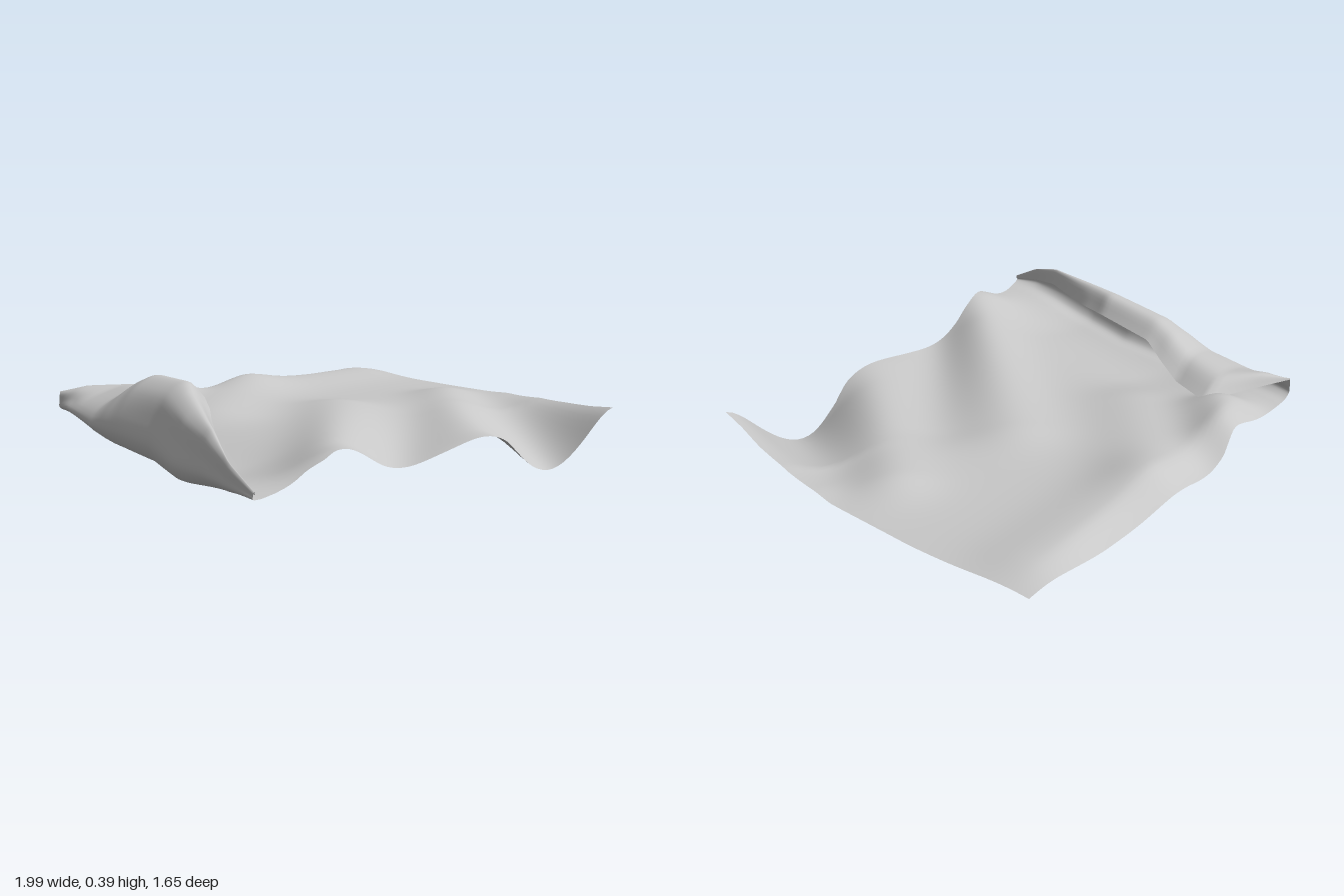
import * as THREE from 'three';

const { lerp, smoothstep } = THREE.MathUtils;

// Piecewise linear lookup
function along(keys, values, t) {
  if (t <= keys[0]) return values[0];
  for (let i = 1; i < keys.length; i++) {
    if (t <= keys[i]) return lerp(values[i - 1], values[i], (t - keys[i - 1]) / (keys[i] - keys[i - 1]));
  }
  return values[values.length - 1];
}

// Outline of the cloth and of its folded flap, from back to front
const Z = [-0.79, -0.7, -0.575, -0.4, -0.3, -0.2, 0.08, 0.33, 0.53, 0.68, 0.8];
const OUTER = [-0.68, -0.7, -0.73, -0.77, -0.785, -0.795, -0.835, -0.925, -0.965, -0.99, -0.985];
const RIGHT = [1, 1, 1, 1, 1, 0.995, 0.985, 0.945, 0.9, 0.855, 0.83];
const FLAP_X = [-0.67, -0.54, -0.34, -0.41, -0.45, -0.5, -0.58, -0.73, -0.87, -0.965, -0.975];
const FLAP_Y = [0.25, 0.24, 0.23, 0.235, 0.28, 0.325, 0.335, 0.29, 0.265, 0.215, 0.19];
const ROLL_Y = [0.255, 0.28, 0.285, 0.3, 0.35, 0.38, 0.395, 0.355, 0.325, 0.265, 0.2];

// Wavy front and back hems
const FRONT_X = [-0.98, -0.85, -0.72, -0.65, -0.5, -0.4, 0.28, 0.37, 0.5, 0.83];
const FRONT_Z = [0.82, 0.78, 0.75, 0.765, 0.72, 0.7, 0.71, 0.69, 0.7, 0.79];
const BACK_X = [-0.68, -0.2, -0.1, 0.2, 1];
const BACK_Z = [-0.79, -0.805, -0.825, -0.825, -0.79];

// Soft folds: x1, z1, x2, z2, height at each end, width
const FOLDS = [
  [-0.58, 0.75, 0.2, -0.1, 0.085, 0.035, 0.16],
  [-0.3, 0.72, 0.35, 0.15, -0.05, -0.02, 0.15],
  [0.17, 0.72, 0.75, 0.0, 0.02, 0.04, 0.14],
  [0.53, 0.74, 0.78, 0.28, -0.175, -0.03, 0.19],
  [0.83, 0.79, 0.98, 0.2, 0.065, 0.02, 0.11],
  [-0.75, 0.3, -0.6, -0.2, -0.045, -0.045, 0.25],
  [-0.36, -0.66, -0.22, -0.78, 0.09, 0.11, 0.14],
  [-0.25, -0.35, 0.2, -0.72, 0.035, 0.04, 0.18],
  [0.25, -0.7, 0.85, -0.7, 0.035, 0.035, 0.18],
];

function sheetHeight(x, z) {
  let y = 0.17;
  for (const [x1, z1, x2, z2, h1, h2, w] of FOLDS) {
    const dx = x2 - x1, dz = z2 - z1;
    const t = THREE.MathUtils.clamp(((x - x1) * dx + (z - z1) * dz) / (dx * dx + dz * dz), 0, 1);
    const d = Math.hypot(x - x1 - t * dx, z - z1 - t * dz) / w;
    y += lerp(h1, h2, t) * Math.exp(-d * d);
  }
  // the back hem droops a little
  return y - 0.04 * (1 - smoothstep(z, -0.83, -0.7)) * smoothstep(x, -0.6, -0.2) * (1 - smoothstep(x, 0.6, 1));
}

const ROWS = 74, ROLL = 32, SHEET = 70;

// One cross-section: free flap edge, over the roll, down and across the sheet
function section(v) {
  const zk = lerp(Z[0], Z[Z.length - 1], v);
  const at = (values) => along(Z, values, zk);
  const left = at(OUTER), right = at(RIGHT), fx = at(FLAP_X), fy = at(FLAP_Y), top = at(ROLL_Y);
  const zAt = (x) => lerp(along(BACK_X, BACK_Z, x), along(FRONT_X, FRONT_Z, x), v);
  const onSheet = (u) => {
    const x = lerp(left, right, u), z = zAt(x);
    return new THREE.Vector3(x, sheetHeight(x, z), z);
  };
  const start = onSheet(0.06);
  const span = fx - left, rise = top - start.y;
  const p = (x, y) => new THREE.Vector3(x, y, zAt(x));
  const roll = new THREE.CatmullRomCurve3([
    p(fx, fy),
    p(fx - span * 0.3, top),
    p(left + span * 0.35, start.y + rise * 0.87),
    p(left + Math.min(0.03, span * 0.15), start.y + rise * 0.55),
    p(left, start.y + rise * 0.25),
    p(left + 0.03, start.y + rise * 0.03),
    start,
  ]);
  const points = roll.getPoints(ROLL);
  for (let i = 1; i <= SHEET; i++) points.push(onSheet(lerp(0.06, 1, i / SHEET)));
  return points;
}

function clothGeometry() {
  const positions = [], indices = [];
  const columns = ROLL + SHEET + 1;
  for (let r = 0; r <= ROWS; r++) {
    for (const q of section(r / ROWS)) positions.push(q.x, q.y, q.z);
  }
  for (let r = 0; r < ROWS; r++) {
    for (let c = 0; c < columns - 1; c++) {
      const a = r * columns + c, b = a + columns;
      indices.push(a, b, a + 1, b, b + 1, a + 1);
    }
  }
  const geometry = new THREE.BufferGeometry();
  geometry.setAttribute('position', new THREE.Float32BufferAttribute(positions, 3));
  geometry.setIndex(indices);
  geometry.computeBoundingBox();
  geometry.translate(0, -geometry.boundingBox.min.y, 0);
  geometry.computeVertexNormals();
  return geometry;
}

export function createModel() {
  const group = new THREE.Group();
  group.name = 'foldedCloth';
  const fabric = new THREE.MeshStandardMaterial({ color: 0xc8c8c8, side: THREE.DoubleSide });
  fabric.name = 'grey fabric';
  const cloth = new THREE.Mesh(clothGeometry(), fabric);
  cloth.name = 'clothSheet';
  group.add(cloth);
  return group;
}
